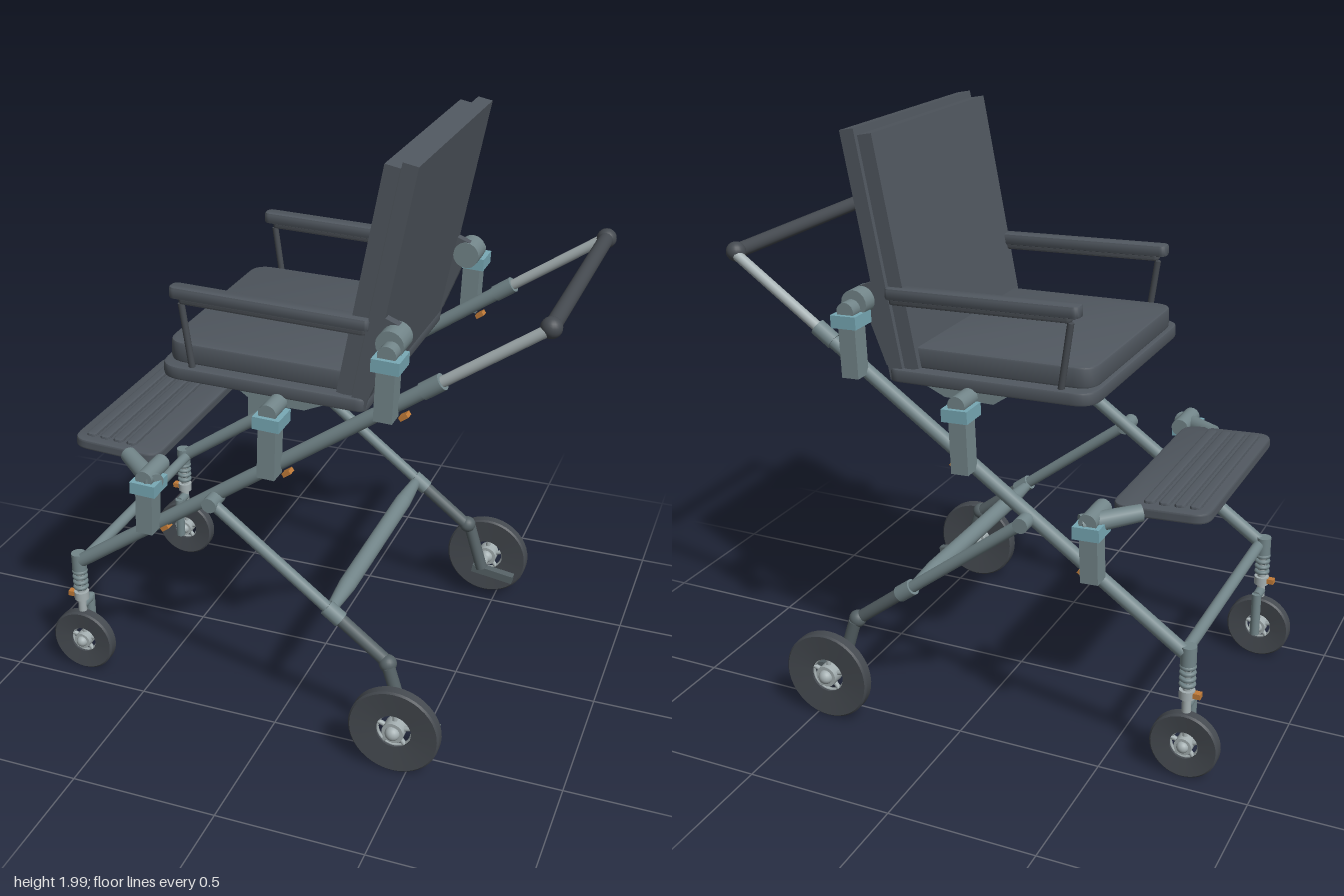
import * as THREE from 'three';
import { toCreasedNormals } from 'three/addons/utils/BufferGeometryUtils.js';

const material = (name, color) => Object.assign(new THREE.MeshStandardMaterial({ color }), { name });
const V = (x, y, z) => new THREE.Vector3(x, y, z);

export function createModel() {
  const cushion = material('slate cushion', 0x50575f);
  const rubber = material('dark rubber', 0x454a50);
  const frame = material('grey green tube', 0x73868a);
  const darkMetal = material('dark metal', 0x566266);
  const steel = material('light steel', 0xa5b0b2);
  const teal = material('teal clamp', 0x78a9b5);
  const orange = material('orange bolt', 0xc27c38);
  const model = new THREE.Group();
  model.name = 'pushchair';

  const add = (name, geo, mat, parent = model) => {
    const m = new THREE.Mesh(geo, mat);
    m.name = name;
    parent.add(m);
    return m;
  };
  const box = (name, size, pos, mat, tilt = 0, parent = model) => {
    const m = add(name, new THREE.BoxGeometry(...size), mat, parent);
    m.position.set(...pos);
    m.rotation.z = tilt;
    return m;
  };
  const ball = (name, r, pos, mat, parent = model) => {
    const m = add(name, new THREE.SphereGeometry(r, 20, 14), mat, parent);
    m.position.set(...pos);
    return m;
  };
  // Tube between two points; rb is the radius at the end
  const rod = (name, a, b, r, mat, rb = r, parent = model) => {
    const from = V(...a), to = V(...b), dir = to.clone().sub(from);
    const m = add(name, new THREE.CylinderGeometry(rb, r, dir.length(), 20), mat, parent);
    m.position.copy(from).add(to).multiplyScalar(0.5);
    m.quaternion.setFromUnitVectors(V(0, 1, 0), dir.normalize());
    return m;
  };
  // Flat pad with rounded corners, rf at the -x end and rb at the +x end
  const slab = (name, x0, x1, z0, z1, y, h, rf, rb, mat, tilt = 0, parent = model) => {
    const b = 0.008, cx = (x0 + x1) / 2, cz = (z0 + z1) / 2;
    const w = (x1 - x0) / 2 - b, d = (z1 - z0) / 2 - b;
    const s = new THREE.Shape();
    s.moveTo(-w + rf, -d);
    s.lineTo(w - rb, -d);
    s.quadraticCurveTo(w, -d, w, -d + rb);
    s.lineTo(w, d - rb);
    s.quadraticCurveTo(w, d, w - rb, d);
    s.lineTo(-w + rf, d);
    s.quadraticCurveTo(-w, d, -w, d - rf);
    s.lineTo(-w, -d + rf);
    s.quadraticCurveTo(-w, -d, -w + rf, -d);
    const geo = new THREE.ExtrudeGeometry(s, { depth: h - 2 * b, bevelSize: b, bevelThickness: b, bevelSegments: 2, curveSegments: 6 });
    geo.translate(0, 0, b - h / 2).rotateX(-Math.PI / 2);
    const m = add(name, toCreasedNormals(geo, 0.6), mat, parent);
    m.position.set(cx, y, cz);
    m.rotation.z = tilt;
    return m;
  };

  // Wheel with open spokes, its axle along z
  const wheel = (name, R, ri, pos) => {
    const g = new THREE.Group();
    g.name = name;
    g.position.set(...pos);
    model.add(g);
    const profile = [[ri, -0.014], [R - 0.006, -0.021], [R, -0.015], [R, 0.015], [R - 0.006, 0.021], [ri, 0.014], [ri, -0.014]];
    const tyre = new THREE.LatheGeometry(profile.map(p => new THREE.Vector2(...p)), 40).rotateX(Math.PI / 2);
    add('tyre', toCreasedNormals(tyre, 0.5), rubber, g);
    add('rim', new THREE.TorusGeometry(ri, 0.006, 8, 32), steel, g);
    rod('hub', [0, 0, -0.024], [0, 0, 0.024], ri * 0.62, steel, ri * 0.62, g);
    ball('hubCap', ri * 0.42, [0, 0, 0.022], steel, g);
    ball('hubCap', ri * 0.42, [0, 0, -0.022], steel, g);
    for (let i = 0; i < 5; i++) {
      const a = i * Math.PI * 0.4 + 0.3;
      rod('spoke', [0, 0, 0], [Math.cos(a) * ri, Math.sin(a) * ri, 0], 0.008, steel, 0.008, g);
    }
  };

  const slope = 0.698;
  const railY = x => 0.975 + slope * x;

  // Seat pan and cushion
  slab('seatPan', -0.425, 0.285, -0.415, 0.415, 1.218, 0.045, 0.07, 0.03, cushion, -0.02);
  slab('seatCushion', -0.41, 0.24, -0.375, 0.375, 1.275, 0.07, 0.06, 0.02, cushion, -0.02);

  // Reclined backrest in two layers
  const back = new THREE.Group();
  back.name = 'backrest';
  back.position.set(0.181, 1.24, 0);
  back.rotation.z = -0.192;
  model.add(back);
  box('backCushion', [0.05, 0.755, 0.79], [0.025, 0.377, 0], cushion, 0, back);
  box('backShell', [0.05, 0.805, 0.81], [0.079, 0.375, 0], cushion, 0, back);

  // Footrest with raised ribs
  const foot = new THREE.Group();
  foot.name = 'footrest';
  foot.position.set(-0.63, 0.872, 0);
  foot.rotation.z = -0.05;
  model.add(foot);
  slab('footPad', -0.16, 0.16, -0.37, 0.37, 0, 0.036, 0.05, 0.05, cushion, 0, foot);
  for (let i = 0; i < 4; i++) {
    const x = -0.105 + i * 0.05;
    slab('footRib', x - 0.019, x + 0.019, -0.335, 0.335, 0.016, 0.022, 0.01, 0.01, cushion, 0, foot);
  }

  // Push bar and cross tubes
  rod('pushBar', [0.84, 1.557, -0.41], [0.84, 1.557, 0.41], 0.025, rubber);
  rod('frontCrossTube', [-0.75, 0.445, -0.43], [-0.75, 0.445, 0.43], 0.02, frame);
  rod('rearCrossTube', [0.19, 0.485, -0.47], [0.19, 0.485, -0.3], 0.018, frame, 0.03);
  rod('rearCrossTube', [0.19, 0.485, -0.3], [0.19, 0.485, 0.3], 0.03, frame);
  rod('rearCrossTube', [0.19, 0.485, 0.3], [0.19, 0.485, 0.47], 0.03, frame, 0.018);

  for (const s of [-1, 1]) {
    // Main rail with telescopic handle
    const z = 0.428 * s;
    rod('mainRail', [-0.75, railY(-0.75), z], [0.52, railY(0.52), z], 0.024, frame);
    rod('railCollar', [0.47, railY(0.47), z], [0.53, railY(0.53), z], 0.028, frame);
    rod('handleTube', [0.5, railY(0.5), z], [0.84, 1.557, 0.422 * s], 0.018, steel);
    ball('pushBarEnd', 0.033, [0.84, 1.557, 0.41 * s], rubber);

    // Rear leg, pivot and wheel bracket
    const lz = 0.475 * s;
    rod('legPivot', [-0.22, 0.81, 0.42 * s], [-0.22, 0.81, 0.5 * s], 0.026, frame);
    rod('rearLeg', [-0.22, 0.81, lz], [0.22, 0.47, lz], 0.02, frame);
    rod('legSleeve', [0.18, 0.5, lz], [0.23, 0.462, lz], 0.028, frame);
    rod('lowerLeg', [0.22, 0.47, lz], [0.4, 0.33, lz], 0.022, darkMetal);
    ball('legFoot', 0.03, [0.395, 0.335, 0.48 * s], darkMetal);
    rod('wheelBracket', [0.4, 0.33, 0.49 * s], [0.455, 0.15, 0.49 * s], 0.022, darkMetal);
    box('brakeLever', [0.16, 0.03, 0.03], [0.5, 0.135, 0.492 * s], darkMetal, -0.15);
    rod('rearAxle', [0.455, 0.16, 0.48 * s], [0.455, 0.16, 0.59 * s], 0.016, steel);
    wheel('rearWheel', 0.155, 0.06, [0.455, 0.16, 0.582 * s]);

    // Sprung front castor on a one-sided fork
    const cx = -0.765, cz = 0.425 * s;
    rod('castorPost', [cx, 0.41, cz], [cx, 0.475, cz], 0.026, frame);
    rod('castorStem', [cx, 0.24, cz], [cx, 0.42, cz], 0.015, steel);
    for (let i = 0; i < 4; i++) {
      const coil = add('springCoil', new THREE.TorusGeometry(0.02, 0.008, 8, 20).rotateX(Math.PI / 2), frame);
      coil.position.set(cx, 0.34 + i * 0.021, cz);
    }
    rod('castorCollar', [cx, 0.29, cz], [cx, 0.32, cz], 0.026, steel);
    box('castorKnob', [0.03, 0.018, 0.024], [cx - 0.032, 0.306, cz], orange);
    rod('forkTop', [cx, 0.262, cz], [cx, 0.262, 0.37 * s], 0.017, frame);
    rod('forkArm', [cx, 0.272, 0.37 * s], [cx, 0.11, 0.37 * s], 0.017, frame);
    rod('frontAxle', [cx, 0.12, 0.36 * s], [cx, 0.12, cz], 0.014, steel);
    wheel('frontWheel', 0.115, 0.048, [cx, 0.12, cz]);

    // Three clamps along the rail
    for (const [name, x, bottom, top] of [['footrestClamp', -0.455, 0.66, 0.82], ['seatClamp', -0.012, 0.95, 1.135], ['backClamp', 0.372, 1.215, 1.39]]) {
      const g = new THREE.Group();
      g.name = name;
      model.add(g);
      box('clampPost', [0.06, top - bottom, 0.065], [x, (top + bottom) / 2, 0.472 * s], frame, -0.04, g);
      box('clampHead', [0.09, 0.042, 0.1], [x + 0.006, top + 0.014, 0.47 * s], teal, -0.04, g);
      rod('clampBarrel', [x + 0.006, top + 0.045, 0.37 * s], [x + 0.006, top + 0.045, 0.505 * s], 0.03, frame, 0.03, g);
      box('clampBolt', [0.03, 0.014, 0.03], [x + 0.045, bottom, 0.435 * s], orange, 0.6, g);
    }

    // Footrest arm, seat bracket and back hinge
    rod('footrestArm', [-0.42, 0.848, 0.485 * s], [-0.575, 0.868, 0.365 * s], 0.034, frame, 0.028);
    const plate = new THREE.Shape([[-0.14, 0], [-0.09, -0.035], [0.08, -0.035], [0.16, 0]].map(p => new THREE.Vector2(...p)));
    const bracket = add('seatBracket', new THREE.ExtrudeGeometry(plate, { depth: 0.05, bevelEnabled: false }), frame);
    bracket.position.set(0, 1.2, 0.385 * s - 0.025);
    rod('backHinge', [0.372, 1.45, 0.37 * s], [0.372, 1.45, 0.46 * s], 0.045, frame);
    box('backSideBar', [0.055, 0.27, 0.03], [0.315, 1.375, 0.39 * s], cushion, -0.38);

    // Armrest on a slim post
    slab('armrest', -0.375, 0.29, s * 0.39 - 0.028, s * 0.39 + 0.028, 1.49, 0.04, 0.015, 0.01, cushion, -0.03);
    slab('armrestBase', -0.345, 0.28, s * 0.39 - 0.02, s * 0.39 + 0.02, 1.464, 0.024, 0.01, 0.01, rubber, -0.03);
    rod('armrestPost', [-0.34, 1.46, 0.39 * s], [-0.31, 1.24, 0.39 * s], 0.011, rubber);
  }
  return model;
}
